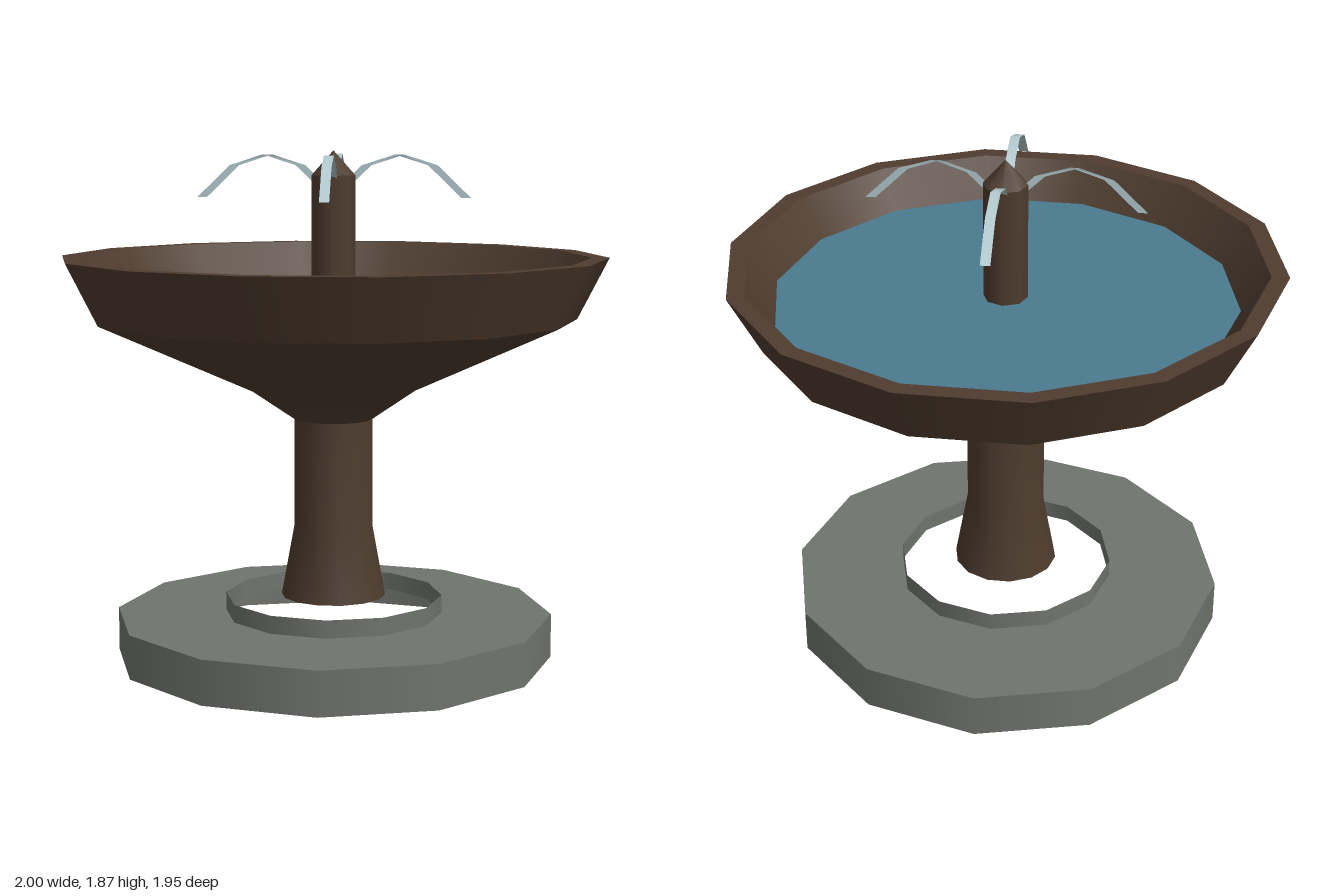
import * as THREE from 'three';

const material = (name, color) => {
  const m = new THREE.MeshStandardMaterial({ color, side: THREE.DoubleSide });
  m.name = name;
  return m;
};

// Ring-shaped part: each section is smooth, edges between sections stay sharp
function turned(name, sections, sides, mat) {
  const group = new THREE.Group();
  group.name = name;
  sections.forEach((section, i) => {
    const points = section.map(([r, y]) => new THREE.Vector2(r, y));
    const mesh = new THREE.Mesh(new THREE.LatheGeometry(points, sides, Math.PI / 2), mat);
    mesh.name = `${name}Section${i + 1}`;
    group.add(mesh);
  });
  return group;
}

// Thin arched ribbon, always widened along x, heading in direction (dx, dz)
function waterJet(name, dx, dz, mat) {
  const steps = 4, reach = 0.48, width = 0.035;
  const geometry = new THREE.PlaneGeometry(width, 1, 1, steps);
  const pos = geometry.attributes.position;
  for (let i = 0; i < pos.count; i++) {
    const t = Math.floor(i / 2) / steps;
    const y = 1.7 + 0.155 * (1 - (2 * t - 1) ** 2);
    pos.setXYZ(i, pos.getX(i) + dx * reach * t, y, dz * reach * t);
  }
  // keep the front face upward or forward
  if (dz < 0 || dx > 0) {
    const idx = geometry.index;
    for (let i = 0; i < idx.count; i += 3) {
      const a = idx.getX(i);
      idx.setX(i, idx.getX(i + 1));
      idx.setX(i + 1, a);
    }
  }
  geometry.computeVertexNormals();
  const mesh = new THREE.Mesh(geometry, mat);
  mesh.name = name;
  return mesh;
}

export function createModel() {
  const stone = material('greyStone', 0x70746e);
  const bronze = material('darkBronze', 0x4e3c2e);
  const water = material('poolWater', 0x4b7a90);
  const spray = material('sprayWater', 0xb4cbd0);

  const model = new THREE.Group();
  model.name = 'fountain';

  // Hollow stone plinth with a raised collar
  model.add(turned('plinth', [
    [[0.81, 0], [0.81, 0.162]],
    [[0.81, 0.162], [0.403, 0.162]],
    [[0.403, 0.162], [0.403, 0.228]],
  ], 12, stone));

  // Flared column
  model.add(turned('column', [
    [[0.193, 0.228], [0.145, 0.49], [0.145, 0.89]],
  ], 14, bronze));

  // Bowl: underside, outer wall, rim, inner wall
  model.add(turned('bowl', [
    [[0.145, 0.89], [0.315, 1.005], [0.887, 1.263]],
    [[0.887, 1.263], [1, 1.486]],
    [[1, 1.486], [0.936, 1.486]],
    [[0.936, 1.486], [0.838, 1.345]],
  ], 14, bronze));

  // Water surface
  const pool = new THREE.Mesh(new THREE.CircleGeometry(0.838, 14), water);
  pool.name = 'poolSurface';
  pool.rotation.x = -Math.PI / 2;
  pool.position.y = 1.345;
  model.add(pool);

  // Spout with a pointed cap
  model.add(turned('spout', [
    [[0.08, 1.345], [0.08, 1.78]],
    [[0.08, 1.78], [0, 1.87]],
  ], 8, bronze));

  // Four water jets
  [['leftJet', 1, 0], ['rightJet', -1, 0], ['frontJet', 0, 1], ['backJet', 0, -1]]
    .forEach(([name, dx, dz]) => model.add(waterJet(name, dx, dz, spray)));

  return model;
}
